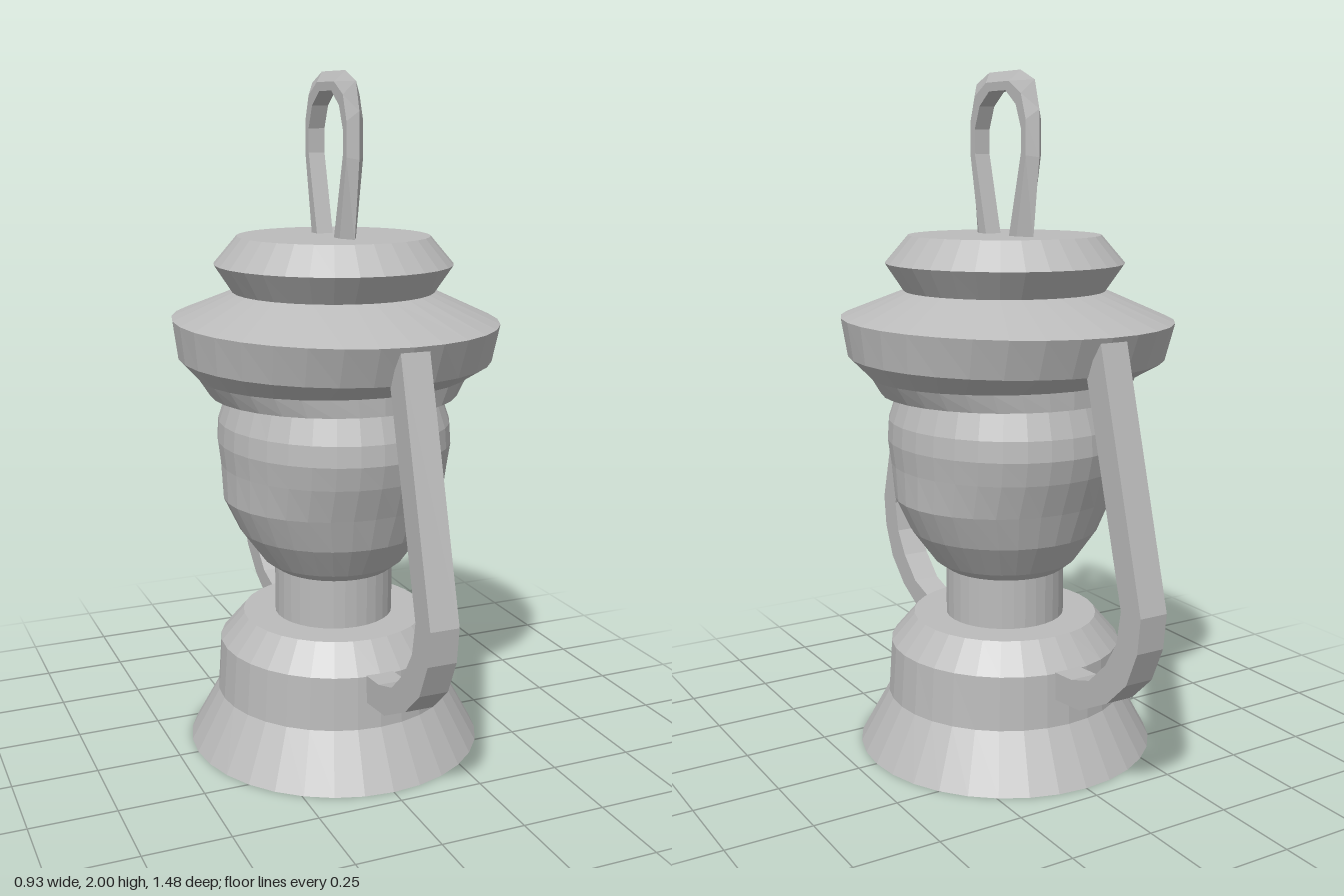
import * as THREE from 'three';

const SIDES = 32;
const grey = new THREE.MeshStandardMaterial({ color: 0xbbbbbb, flatShading: true });
grey.name = 'grey metal';

// Turned part with oval rings: each ring is [y, half width in x, half depth in z].
function ovalLathe(name, rings) {
  const full = [[rings[0][0], 0, 0], ...rings, [rings[rings.length - 1][0], 0, 0]];
  const geometry = new THREE.LatheGeometry(full.map(([y, rx]) => new THREE.Vector2(rx, y)), SIDES);
  const pos = geometry.attributes.position;
  for (let i = 0; i < pos.count; i++) {
    const [, rx, rz] = full[i % full.length];
    if (rx > 0) pos.setZ(i, pos.getZ(i) * rz / rx);
  }
  return facet(name, geometry);
}

// Bar in the z-y plane: stations are [outer z, outer y, inner z, inner y],
// section points are [0 inner .. 1 outer, x].
function bar(name, stations, section) {
  const points = [], index = [], n = section.length;
  for (const [oz, oy, iz, iy] of stations) {
    for (const [t, x] of section) points.push(x, iy + (oy - iy) * t, iz + (oz - iz) * t);
  }
  for (let i = 0; i < stations.length - 1; i++) {
    for (let j = 0; j < n; j++) {
      const a = i * n + j, d = i * n + (j + 1) % n;
      index.push(a, a + n, d + n, a, d + n, d);
    }
  }
  // End caps
  const last = (stations.length - 1) * n;
  for (let j = 1; j < n - 1; j++) {
    index.push(0, j, j + 1, last, last + j + 1, last + j);
  }
  const geometry = new THREE.BufferGeometry();
  geometry.setAttribute('position', new THREE.Float32BufferAttribute(points, 3));
  geometry.setIndex(index);
  return facet(name, geometry);
}

function facet(name, indexed) {
  const geometry = indexed.toNonIndexed();
  geometry.computeVertexNormals();
  const mesh = new THREE.Mesh(geometry, grey);
  mesh.name = name;
  return mesh;
}

export function createModel() {
  const lantern = new THREE.Group();
  lantern.name = 'lantern';

  // Foot, neck and globe
  lantern.add(ovalLathe('base', [
    [0, 0.442, 0.45], [0.16, 0.356, 0.358], [0.318, 0.345, 0.352], [0.4, 0.275, 0.282],
  ]));
  lantern.add(ovalLathe('neck', [[0.39, 0.178, 0.178], [0.56, 0.178, 0.178]]));
  lantern.add(ovalLathe('globe', [
    [0.55, 0.18, 0.185], [0.575, 0.215, 0.215], [0.67, 0.285, 0.278], [0.77, 0.333, 0.312],
    [0.87, 0.336, 0.352], [0.94, 0.344, 0.37], [1.0, 0.34, 0.366], [1.09, 0.31, 0.335],
  ]));

  // Cap with wide brim
  lantern.add(ovalLathe('cap', [
    [1.08, 0.365, 0.368], [1.132, 0.4, 0.37], [1.19, 0.453, 0.497], [1.3, 0.466, 0.545],
    [1.38, 0.295, 0.297], [1.46, 0.347, 0.357], [1.54, 0.28, 0.285],
  ]));

  // Side arms, front and back
  const armPath = [
    [0.549, 1.288, 0.485, 1.2], [0.742, 0.6, 0.656, 0.595], [0.73, 0.5, 0.638, 0.5],
    [0.685, 0.4, 0.59, 0.425], [0.6, 0.32, 0.515, 0.355], [0.47, 0.252, 0.43, 0.328],
    [0.33, 0.238, 0.33, 0.32],
  ];
  const armSection = [[0, -0.042], [1, -0.042], [1, 0.042], [0, 0.042]];
  for (const [name, turn] of [['frontArm', 0], ['backArm', Math.PI]]) {
    const arm = bar(name, armPath, armSection);
    arm.rotation.y = turn;
    lantern.add(arm);
  }

  // Hanging loop with a ridged outer edge
  const halfLoop = [
    [0.155, 1.53, 0.062, 1.53], [0.185, 1.76, 0.128, 1.77], [0.184, 1.89, 0.128, 1.84],
    [0.16, 1.97, 0.1, 1.905], [0.085, 2.0, 0.045, 1.945],
  ];
  const loopPath = [
    ...halfLoop.map(([oz, oy, iz, iy]) => [-oz, oy, -iz, iy]),
    ...halfLoop.slice().reverse(),
  ];
  lantern.add(bar('hangingLoop', loopPath,
    [[0, -0.025], [0.45, -0.025], [1, 0], [0.45, 0.025], [0, 0.025]]));

  return lantern;
}
